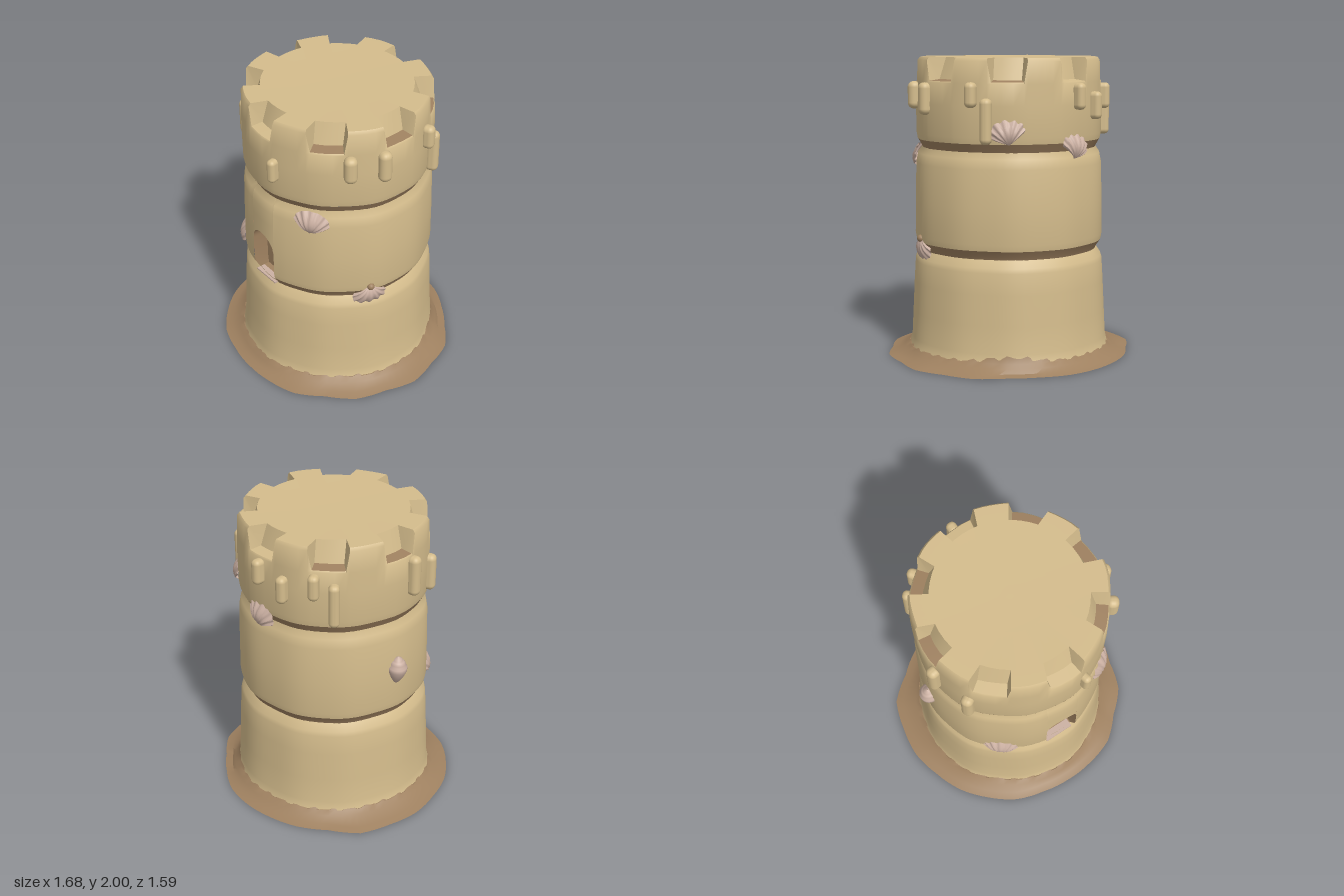
import * as THREE from 'three';
import { toCreasedNormals } from 'three/addons/utils/BufferGeometryUtils.js';
import { RoundedBoxGeometry } from 'three/addons/geometries/RoundedBoxGeometry.js';

const TAU = Math.PI * 2;
const material = (name, color, side = THREE.FrontSide) =>
  Object.assign(new THREE.MeshStandardMaterial({ color, side }), { name });

// Surface from a grid of points: columns run anticlockwise round y, rows run up and then inward.
// pick(i, j) chooses the material group of a quad.
function grid(cols, rows, point, pick = () => 0, crease = 0.7) {
  const pos = [], lists = [[], []];
  for (let j = 0; j <= rows; j++) for (let i = 0; i <= cols; i++) pos.push(...point(i, j));
  for (let j = 0; j < rows; j++) for (let i = 0; i < cols; i++) {
    const a = j * (cols + 1) + i, b = a + 1, c = a + cols + 1, d = c + 1;
    lists[pick(i, j)].push(a, b, d, a, d, c);
  }
  const g = new THREE.BufferGeometry();
  g.setAttribute('position', new THREE.Float32BufferAttribute(pos, 3));
  g.setIndex([...lists[0], ...lists[1]]);
  if (lists[1].length) {
    g.addGroup(0, lists[0].length, 0);
    g.addGroup(lists[0].length, lists[1].length, 1);
  }
  return toCreasedNormals(g, crease);
}

// Hand-packed unevenness of the walls
const wobble = a => 0.004 * Math.sin(5 * a + 1) + 0.003 * Math.sin(11 * a);
const polar = (r, a, y) => [r * Math.sin(a), y, r * Math.cos(a)];

function revolve(profile, a0 = 0, a1 = TAU, cols = 72) {
  return grid(cols, profile.length - 1, (i, j) => {
    const a = a0 + (a1 - a0) * i / cols;
    return polar(profile[j][0] + wobble(a), a, profile[j][1]);
  });
}

// Ribbed fan shell, hinge at the bottom, bulging towards +z
function scallopGeometry() {
  return grid(48, 8, (i, j) => {
    const a = (i / 48 - 0.5) * 3.9, v = 1 - j / 8;
    const edge = 1 + 0.03 * Math.cos(a * 11);
    const bulge = 0.045 * Math.sin(Math.PI * (0.12 + 0.88 * v)) * (0.55 + 0.45 * Math.cos(a * 0.8));
    return [0.115 * Math.sin(a) * v * edge, -0.085 + (0.085 + 0.075 * Math.cos(a) * edge) * v,
      bulge + 0.005 * v * Math.cos(a * 11) - 0.008];
  });
}

export function createModel() {
  const sand = material('dry sand', 0xd4bc8c);
  const wet = material('wet sand', 0x9f8160, THREE.DoubleSide);
  const shell = material('shell', 0xcbb0a2, THREE.DoubleSide);
  const tower = new THREE.Group();
  tower.name = 'sandTower';
  const add = (name, geometry, mat, parent = tower) => {
    const m = new THREE.Mesh(geometry, mat);
    m.name = name;
    parent.add(m);
    return m;
  };

  // Uneven wet skirt, radii every 15 degrees starting at +x and turning towards +z
  const radii = [0.84, 0.81, 0.83, 0.80, 0.82, 0.80, 0.79, 0.79, 0.81, 0.81, 0.82, 0.82,
    0.84, 0.84, 0.86, 0.81, 0.81, 0.80, 0.80, 0.80, 0.78, 0.78, 0.82, 0.81];
  add('wetSkirt', grid(96, 5, (i, j) => {
    const a = TAU * i / 96, t = ((Math.PI / 2 - a + TAU) % TAU) / TAU * 24;
    const k = Math.floor(t) % 24;
    const R = THREE.MathUtils.lerp(radii[k], radii[(k + 1) % 24], t - Math.floor(t));
    const jag = 0.07 + 0.012 * Math.sin(i * 2.3) + 0.035 * Math.exp(-8 * (a - 2.4) ** 2);
    const rows = [[0.001, 0], [R, 0], [R - 0.05, 0.012], [0.71, 0.04], [0.682, 0.065], [0.668, jag]];
    return polar(rows[j][0] + (j > 3 ? wobble(a) : 0), a, Math.max(rows[j][1], 0));
  }), wet);

  // Lower drum
  add('lowerDrum', revolve([[0.69, 0.03], [0.674, 0.07], [0.664, 0.12], [0.655, 0.3], [0.645, 0.5],
    [0.636, 0.64], [0.627, 0.67], [0.592, 0.72], [0.595, 0.735]]), sand);

  // Middle drum, open at the doorway
  const w = 0.184;
  const mid = [[0.592, 0.72], [0.6, 0.738], [0.628, 0.78], [0.635, 0.82], [0.632, 1.05], [0.625, 1.3],
    [0.612, 1.365], [0.584, 1.405], [0.585, 1.42]];
  const midRadius = y => {
    let k = 1;
    while (k < mid.length - 1 && mid[k][1] < y) k++;
    const [r0, y0] = mid[k - 1], [r1, y1] = mid[k];
    return r0 + (r1 - r0) * (y - y0) / (y1 - y0);
  };
  const archY = a => 0.98 + 0.115 * Math.sqrt(Math.max(0, 1 - (a / w) ** 2));
  add('lowerWetBand', revolve(mid.slice(0, 3), w, TAU - w), wet);
  add('middleDrum', revolve(mid.slice(2), w, TAU - w), sand);
  add('wallAboveDoor', grid(20, 5, (i, j) => {
    const a = w * (i / 10 - 1), y = [archY(a), 1.2, 1.3, 1.365, 1.405, 1.42][j];
    return polar(midRadius(y) + wobble(a), a, y);
  }), sand);

  // Arched door niche
  const outline = [[w, 0.72], [w, 0.78], [w, 0.9]];
  for (let i = 0; i <= 20; i++) {
    const a = w * Math.cos(Math.PI * i / 20);
    outline.push([a, archY(a)]);
  }
  outline.push([-w, 0.9], [-w, 0.78], [-w, 0.72], [w, 0.72]);
  const rim = outline.map(([a, y]) => polar(midRadius(y) + wobble(a), a, y));
  add('doorNiche', grid(rim.length - 1, 1, (i, j) => [rim[i][0], rim[i][1], j ? 0.51 : rim[i][2]]), wet);
  const back = new THREE.Shape(rim.slice(0, -1).map(p => new THREE.Vector2(p[0], p[1])));
  add('doorBack', new THREE.ShapeGeometry(back), wet).position.z = 0.51;
  add('doorstep', new THREE.BoxGeometry(0.2, 0.009, 0.06), shell).position.set(0, 0.724, 0.585);

  // Upper drum with eight notches cut into the rim
  add('upperWetBand', revolve([[0.584, 1.405], [0.592, 1.42], [0.615, 1.46]]), wet);
  const steps = [-0.21, -0.17, -0.06, 0.06, 0.17, 0.21, 0.3, 0.393, 0.485];
  const angles = [];
  for (let k = 0; k < 8; k++) for (const s of steps) angles.push({ a: k * TAU / 8 + s, k, notch: Math.abs(s) < 0.2 });
  angles.push({ a: TAU - 0.21, k: 8, notch: false });
  const wetNotches = [1, 2, 3, 5, 6];
  const upper = [[0.615, 1.46], [0.622, 1.5], [0.624, 1.7], [0.62, 1.84], [0.615, 1.98], [0.6, 2], [0.49, 2], [0.25, 1.995], [0.001, 1.995]];
  const cut = { 4: [0.612, 1.85], 5: [0.535, 1.86] };
  add('upperDrum', grid(angles.length - 1, upper.length - 1, (i, j) => {
    const { a, notch } = angles[i];
    const [r, y] = (notch && cut[j]) || upper[j];
    return polar(r + (j < 6 ? wobble(a) : 0), a, y);
  }, (i, j) => +(j === 4 && angles[i].notch && angles[i + 1].notch && wetNotches.includes(angles[i].k))), [sand, wet]);

  // Sand drips round the upper drum: x, z, bottom, top, width
  const drips = [
    [-0.65, 0.11, 1.57, 1.84, 0.08], [-0.55, 0.35, 1.49, 1.74, 0.08], [0.145, 0.64, 1.58, 1.74, 0.06],
    [0.55, 0.34, 1.66, 1.84, 0.085], [0.64, 0.135, 1.63, 1.84, 0.085], [0.6, -0.265, 1.69, 1.85, 0.075],
    [0.55, -0.355, 1.46, 1.75, 0.075], [-0.01, -0.65, 1.67, 1.84, 0.07], [-0.2, -0.615, 1.6, 1.78, 0.07],
    [-0.39, -0.52, 1.66, 1.83, 0.07], [-0.48, -0.43, 1.48, 1.77, 0.07]];
  const drip = new THREE.Group();
  drip.name = 'sandDrips';
  tower.add(drip);
  for (const [x, z, y0, y1, width] of drips) {
    const m = add('sandDrip', new RoundedBoxGeometry(width, y1 - y0, 0.085, 4, width * 0.45), sand, drip);
    const a = Math.atan2(x, z);
    m.position.set(...polar(0.638, a, (y0 + y1) / 2));
    m.rotation.y = a;
  }

  // Fan shells: x, z, y, surface radius, roll
  const fan = scallopGeometry();
  for (const [x, z, y, r, roll] of [[-0.4, 0.49, 0.82, 0.63, 0], [0.37, 0.51, 1.335, 0.625, -0.15],
    [0.6, 0.21, 0.73, 0.622, Math.PI], [0.46, -0.455, 1.54, 0.628, 0.2], [0, -0.64, 1.44, 0.62, -0.25]]) {
    const m = add('fanShell', fan, shell), a = Math.atan2(x, z);
    m.position.set(...polar(r, a, y));
    m.rotation.set(0, a, roll, 'YXZ');
  }
  const knob = add('wetLump', new THREE.SphereGeometry(0.025, 12, 8), wet);
  knob.position.set(0.605, 0.81, 0.21);

  // Spiral shell on the right-hand wall
  const whorls = [[0.002, -0.105], [0.025, -0.08], [0.05, -0.035], [0.066, 0.01], [0.064, 0.035], [0.05, 0.045],
    [0.052, 0.06], [0.04, 0.075], [0.028, 0.08], [0.026, 0.092], [0.002, 0.108]];
  const snail = add('spiralShell', new THREE.LatheGeometry(whorls.map(p => new THREE.Vector2(...p)), 24), shell);
  snail.position.set(-0.63, 1.06, -0.02);
  snail.rotation.z = 0.1;

  return tower;
}
